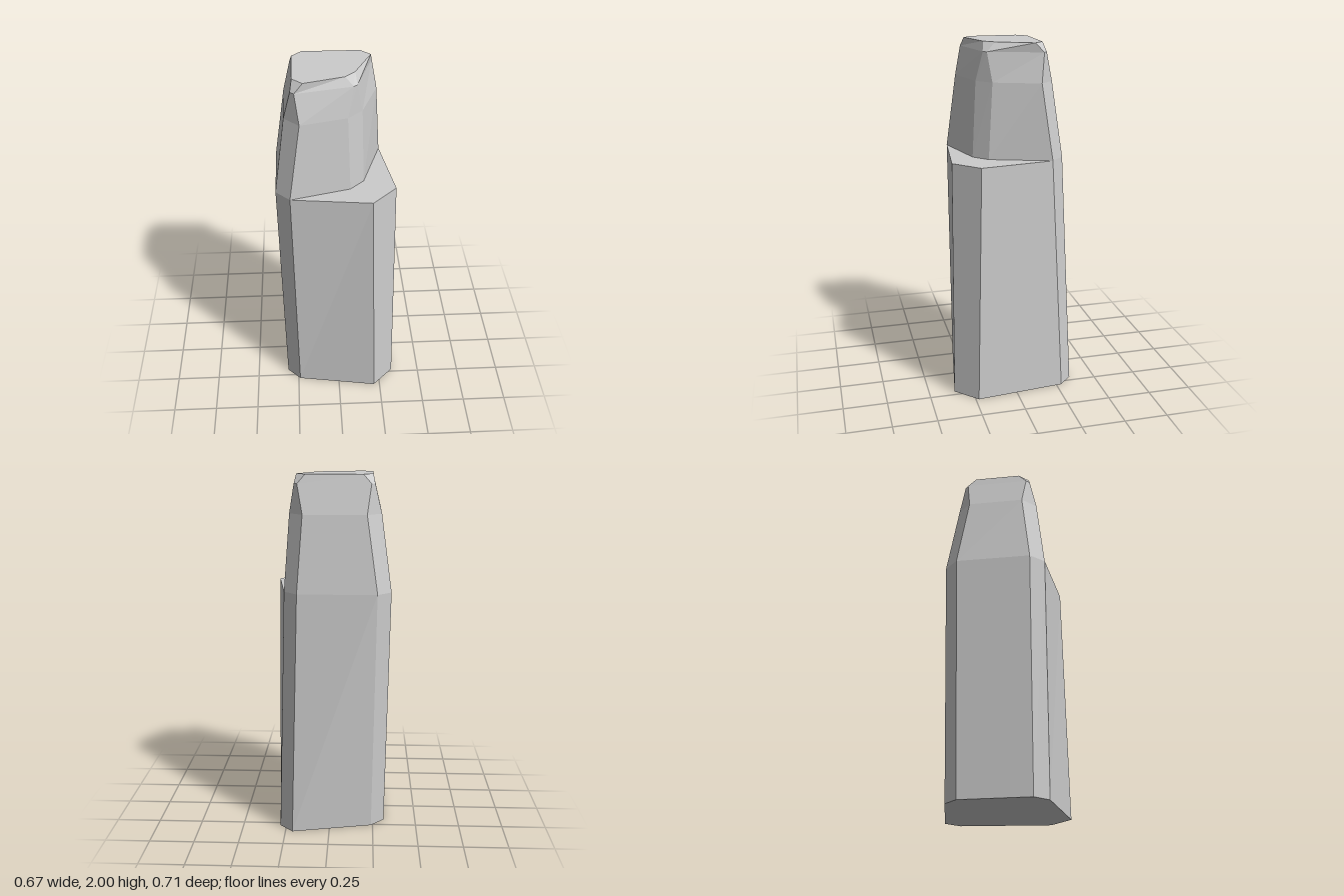
import * as THREE from 'three';

// Stack of eight-cornered rings ({ y, p: [[x, z], ...] }), counterclockwise from above
function loft(rings, material, name, closeBottom) {
  const pos = [];
  const point = (r, i) => [r.p[i % 8][0], r.y, r.p[i % 8][1]];
  const tri = (a, b, c) => pos.push(...a, ...b, ...c);
  for (let k = 0; k < rings.length - 1; k++) {
    const lo = rings[k], hi = rings[k + 1];
    for (let i = 0; i < 8; i++) {
      tri(point(lo, i), point(lo, i + 1), point(hi, i + 1));
      tri(point(lo, i), point(hi, i + 1), point(hi, i));
    }
  }
  const bottom = rings[0], top = rings[rings.length - 1];
  for (let i = 1; i < 7; i++) {
    tri(point(top, 0), point(top, i), point(top, i + 1));
    if (closeBottom) tri(point(bottom, 0), point(bottom, i + 1), point(bottom, i));
  }
  const geometry = new THREE.BufferGeometry();
  geometry.setAttribute('position', new THREE.Float32BufferAttribute(pos, 3));
  geometry.computeVertexNormals();
  const mesh = new THREE.Mesh(geometry, material);
  mesh.name = name;
  return mesh;
}

export function createModel() {
  const group = new THREE.Group();
  group.name = 'tower';
  const grey = new THREE.MeshStandardMaterial({ color: 0xcccccc });
  grey.name = 'light grey';

  // Tall tapering shaft with chamfered corners, ending in a ledge
  group.add(loft([
    { y: 0, p: [[-0.24, 0.28], [0.215, 0.353], [0.335, 0.232], [0.285, -0.28],
      [0.21, -0.355], [-0.24, -0.26], [-0.315, -0.185], [-0.315, 0.205]] },
    { y: 1.37, p: [[-0.26, 0.285], [0.178, 0.335], [0.313, 0.2], [0.252, -0.212],
      [0.177, -0.288], [-0.26, -0.288], [-0.337, -0.212], [-0.337, 0.208]] },
  ], grey, 'lowerShaft', true));

  // Set-back crown whose corners narrow and then splay into small triangular facets
  group.add(loft([
    { y: 1.37, p: [[-0.26, 0.285], [0.065, 0.197], [0.142, 0.122], [0.252, -0.212],
      [0.177, -0.288], [-0.26, -0.288], [-0.337, -0.212], [-0.337, 0.208]] },
    { y: 1.79, p: [[-0.2, 0.238], [0.05, 0.173], [0.13, 0.097], [0.223, -0.153],
      [0.147, -0.23], [-0.2, -0.23], [-0.28, -0.153], [-0.28, 0.16]] },
    { y: 1.95, p: [[-0.222, 0.203], [0.08, 0.138], [0.1, 0.12], [0.195, -0.172],
      [0.177, -0.19], [-0.222, -0.19], [-0.242, -0.172], [-0.242, 0.183]] },
    { y: 2, p: [[-0.178, 0.19], [0.037, 0.127], [0.09, 0.073], [0.185, -0.125],
      [0.133, -0.178], [-0.178, -0.178], [-0.232, -0.125], [-0.232, 0.138]] },
  ], grey, 'upperCrown', false));

  return group;
}
